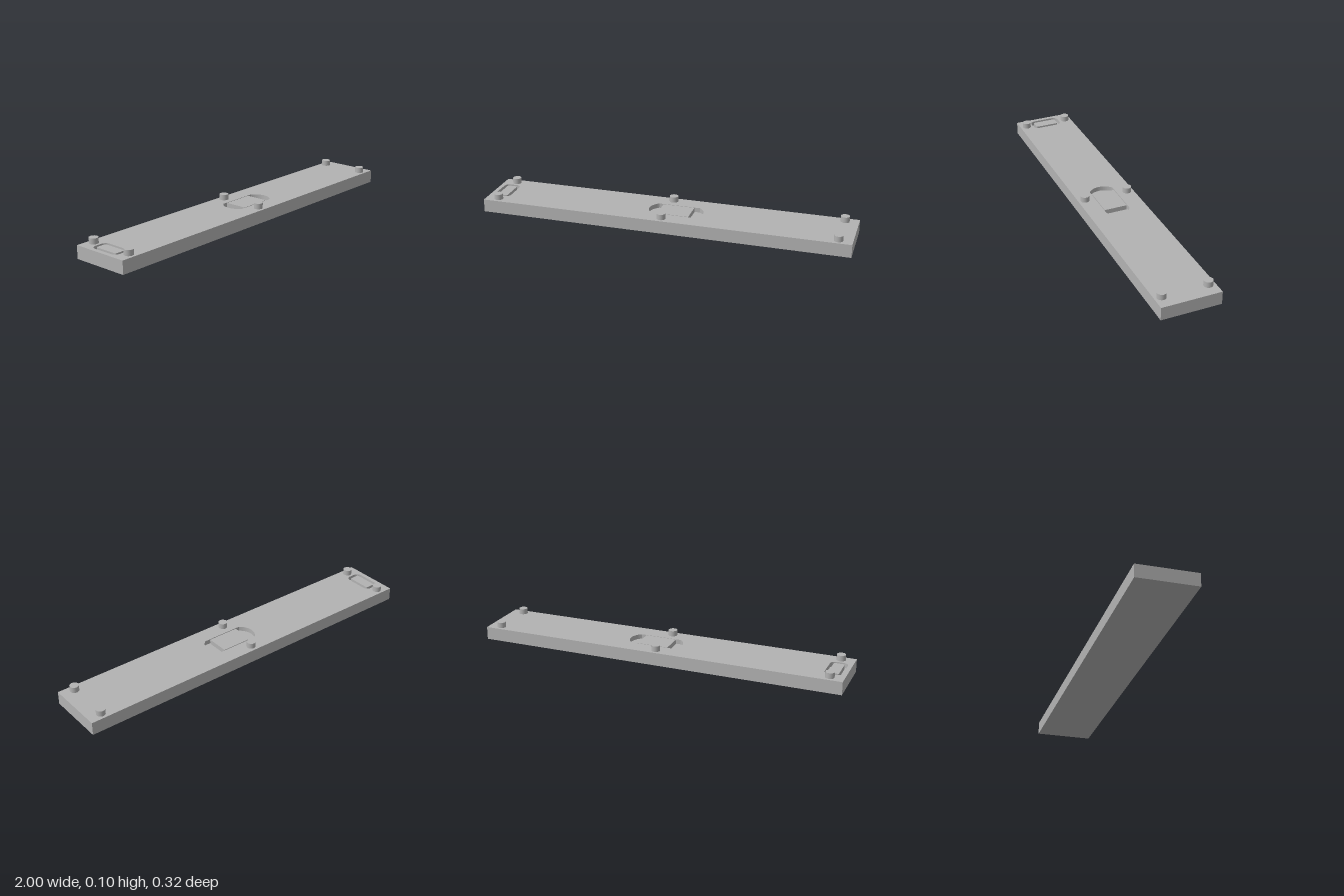
import * as THREE from 'three';

const HEIGHT = 0.07, DEPTH = 0.025, FLOOR = HEIGHT - DEPTH;

// Extrude a plan (x, -z) shape upward from height y
function slab(shape, y, height, material, name) {
  const geometry = new THREE.ExtrudeGeometry(shape, { depth: height, bevelEnabled: false, curveSegments: 10 });
  geometry.rotateX(-Math.PI / 2);
  geometry.translate(0, y, 0);
  const mesh = new THREE.Mesh(geometry, material);
  mesh.name = name;
  return mesh;
}

function roundedRect(Type, cx, w, d, r) {
  const p = new Type(), x = w / 2 - r, z = d / 2 - r;
  p.absarc(cx + x, z, r, 0, Math.PI / 2);
  p.absarc(cx - x, z, r, Math.PI / 2, Math.PI);
  p.absarc(cx - x, -z, r, Math.PI, Math.PI * 1.5);
  p.absarc(cx + x, -z, r, Math.PI * 1.5, Math.PI * 2);
  p.closePath();
  return p;
}

// Flat-sided oval with bowed ends
function ovalPath(cx, halfLength, halfWidth, radius) {
  const a = Math.asin(halfWidth / radius), offset = halfLength - radius;
  const p = new THREE.Path();
  p.absarc(cx + offset, 0, radius, -a, a);
  p.absarc(cx - offset, 0, radius, Math.PI - a, Math.PI + a);
  p.closePath();
  return p;
}

function rect(w, d) {
  return new THREE.Shape([[-w, -d], [w, -d], [w, d], [-w, d]].map(([x, z]) => new THREE.Vector2(x / 2, z / 2)));
}

export function createModel() {
  const model = new THREE.Group();
  model.name = 'peggedBar';
  const grey = new THREE.MeshStandardMaterial({ color: 0xb2b2b2 });
  grey.name = 'grey';

  // Bar: one solid body below the pockets, one pierced layer above
  model.add(slab(rect(2, 0.316), 0, FLOOR, grey, 'barBase'));
  const top = rect(2, 0.316);
  top.holes.push(ovalPath(0.047, 0.148, 0.066, 0.08));
  top.holes.push(roundedRect(THREE.Path, -0.931, 0.092, 0.168, 0.03));
  model.add(slab(top, FLOOR, DEPTH, grey, 'barTop'));

  // Raised blocks inside the two pockets
  const block = new THREE.Mesh(new THREE.BoxGeometry(0.172, DEPTH, 0.124), grey);
  block.name = 'centreBlock';
  block.position.set(0.045, FLOOR + DEPTH / 2, 0);
  model.add(block);
  model.add(slab(roundedRect(THREE.Shape, -0.931, 0.056, 0.132, 0.006), FLOOR, DEPTH, grey, 'endBlock'));

  // Three pairs of locating pegs
  const pegGeometry = new THREE.CylinderGeometry(0.0235, 0.0235, 0.03, 32);
  for (const x of [-0.927, 0, 0.927]) {
    for (const z of [-0.121, 0.121]) {
      const peg = new THREE.Mesh(pegGeometry, grey);
      peg.name = 'peg';
      peg.position.set(x, HEIGHT + 0.015, z);
      model.add(peg);
    }
  }
  return model;
}
